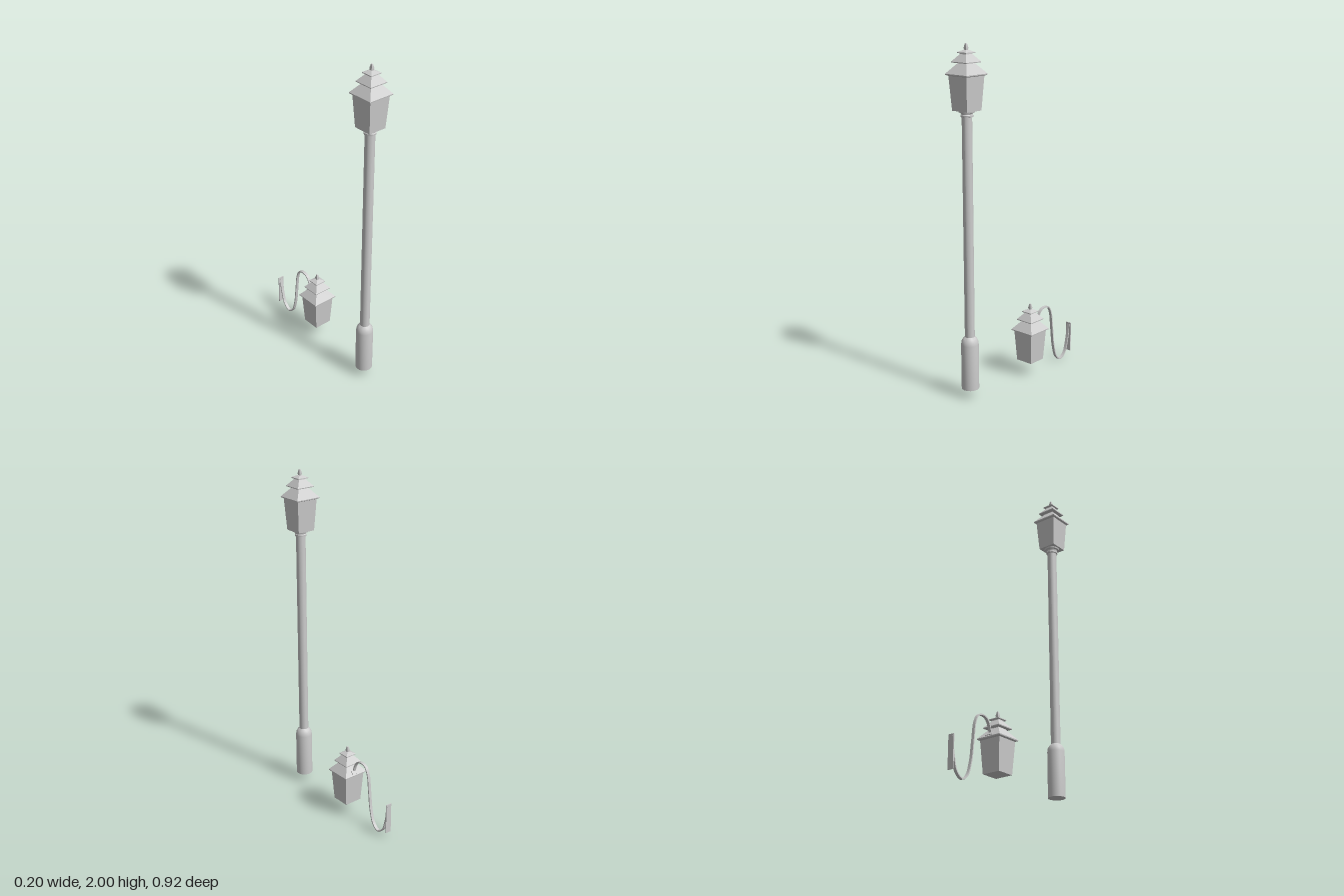
import * as THREE from 'three';
import { toCreasedNormals } from 'three/addons/utils/BufferGeometryUtils.js';

const material = new THREE.MeshStandardMaterial({ color: 0xcccccc, side: THREE.DoubleSide });

function addMesh(parent, name, geometry) {
  const mesh = new THREE.Mesh(geometry, material);
  mesh.name = name;
  parent.add(mesh);
  return mesh;
}

// Turned or square-sided part from a profile of [half width, height]
function turned(profile, sides) {
  const k = sides === 4 ? Math.SQRT2 : 1;
  const points = profile.map(([r, y]) => new THREE.Vector2(r * k, y));
  const geometry = new THREE.LatheGeometry(points, sides);
  if (sides === 4) geometry.rotateY(Math.PI / 4);
  return toCreasedNormals(geometry, 0.45);
}

// Square lantern, with y = 0 at the underside of the body
function createLantern(name) {
  const lantern = new THREE.Group();
  lantern.name = name;
  addMesh(lantern, 'lanternBody', turned([[0, 0], [0.055, 0], [0.067, 0.186]], 4));
  addMesh(lantern, 'lowerRoof', turned(
    [[0.066, 0.184], [0.078, 0.189], [0.079, 0.195], [0.032, 0.25], [0.031, 0.256]], 4));
  addMesh(lantern, 'middleRoof', turned(
    [[0.03, 0.253], [0.055, 0.253], [0.056, 0.258], [0.023, 0.297], [0.022, 0.305]], 4));
  addMesh(lantern, 'topRoof', turned(
    [[0, 0.302], [0.034, 0.302], [0.034, 0.307], [0.01, 0.319], [0, 0.319]], 4));
  addMesh(lantern, 'finial', turned(
    [[0.007, 0.318], [0.009, 0.33], [0.004, 0.352], [0, 0.355]], 4));
  return lantern;
}

// Flat strip of even thickness bent along a curve in the side plane
function bentStrip(points, thickness, width) {
  const curve = new THREE.CatmullRomCurve3(points.map(([z, y]) => new THREE.Vector3(-z, y, 0)));
  const near = [], far = [], steps = 48;
  for (let i = 0; i <= steps; i++) {
    const p = curve.getPointAt(i / steps), t = curve.getTangentAt(i / steps);
    const dx = -t.y * thickness / 2, dy = t.x * thickness / 2;
    near.push(new THREE.Vector2(p.x + dx, p.y + dy));
    far.unshift(new THREE.Vector2(p.x - dx, p.y - dy));
  }
  const geometry = new THREE.ExtrudeGeometry(new THREE.Shape([...near, ...far]),
    { depth: width, bevelEnabled: false });
  geometry.translate(0, 0, -width / 2).rotateY(Math.PI / 2);
  return toCreasedNormals(geometry, 0.6);
}

export function createModel() {
  const model = new THREE.Group();
  model.name = 'lamps';

  // Standing lamp
  const postLamp = new THREE.Group();
  postLamp.name = 'postLamp';
  postLamp.position.set(-0.02, 0, 0.382);
  addMesh(postLamp, 'postBase', turned(
    [[0, 0.055], [0.05, 0.055], [0.05, 0.322], [0.047, 0.342], [0.038, 0.358], [0.028, 0.368]], 24));
  addMesh(postLamp, 'postShaft', turned([[0.028, 0.36], [0.028, 1.615]], 24));
  addMesh(postLamp, 'postCollar', turned(
    [[0.028, 1.61], [0.034, 1.612], [0.034, 1.622], [0.031, 1.626], [0.034, 1.634],
      [0.044, 1.637], [0.046, 1.647], [0, 1.647]], 24));
  const postLantern = createLantern('postLantern');
  postLantern.position.y = 1.645;
  postLamp.add(postLantern);
  model.add(postLamp);

  // Wall lamp hung from an S-shaped arm
  const wallLamp = new THREE.Group();
  wallLamp.name = 'wallLamp';
  wallLamp.position.x = 0.0175;
  const wallLantern = createLantern('wallLantern');
  wallLantern.position.set(0, 0.09, -0.0925);
  wallLamp.add(wallLantern);
  addMesh(wallLamp, 'wallArm', bentStrip(
    [[-0.153, 0.3], [-0.166, 0.345], [-0.19, 0.379], [-0.225, 0.388], [-0.258, 0.378],
      [-0.28, 0.335], [-0.294, 0.23], [-0.309, 0.114], [-0.336, 0.033], [-0.375, 0.005],
      [-0.418, 0.035], [-0.442, 0.11], [-0.459, 0.21]], 0.007, 0.018));
  const wallPlate = addMesh(wallLamp, 'wallPlate', new THREE.BoxGeometry(0.036, 0.185, 0.006));
  wallPlate.position.set(0, 0.129, -0.459);

  // Small mounting plate lying on the back slope of the roof
  const roofPlate = addMesh(wallLamp, 'roofPlate', new THREE.BoxGeometry(0.046, 0.004, 0.03));
  roofPlate.position.set(0, 0.303, -0.16);
  roofPlate.rotation.x = -0.86;
  model.add(wallLamp);

  return model;
}
